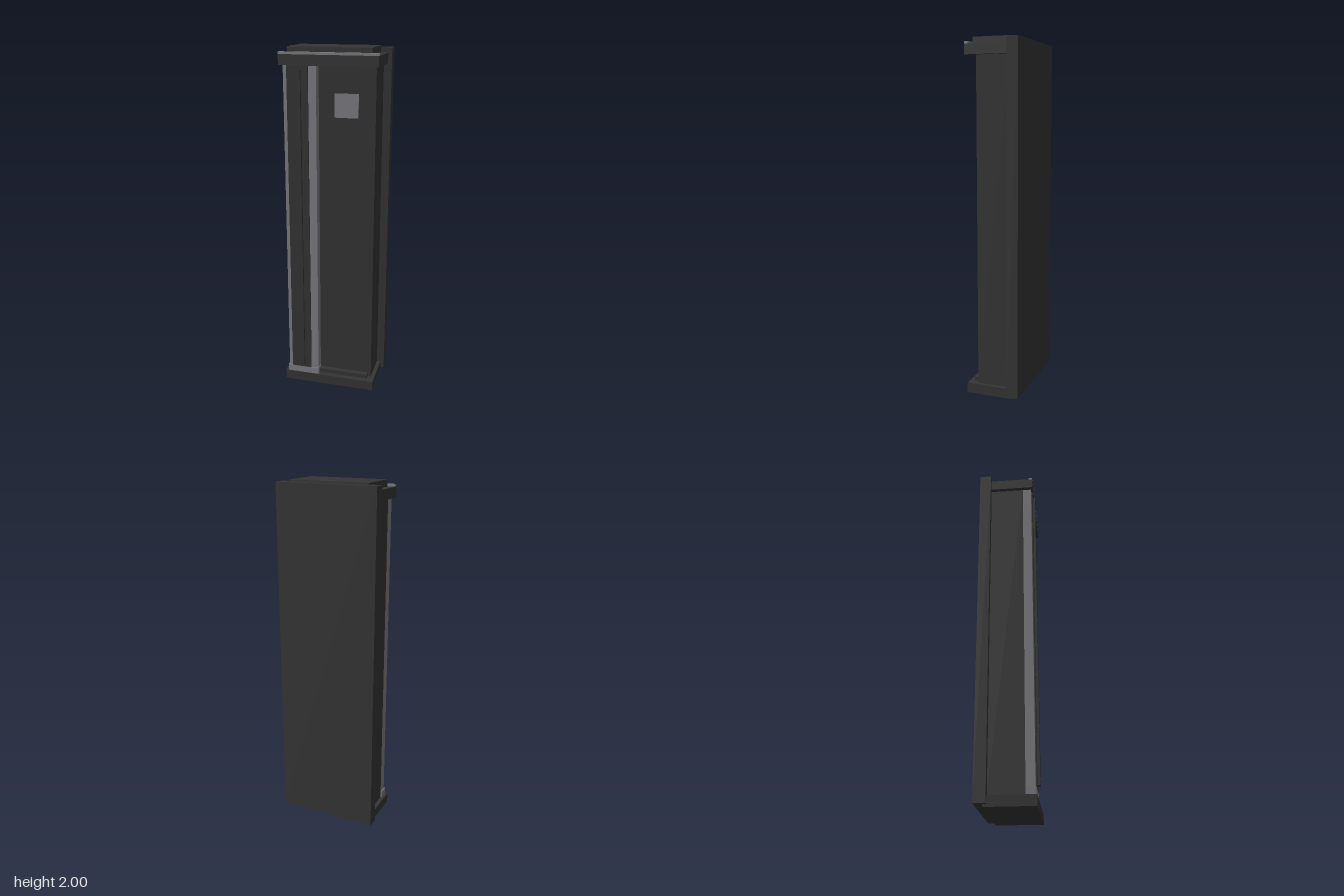
import * as THREE from 'three';

export function createModel() {
  const model = new THREE.Group();
  model.name = 'cabinet';

  const dark = new THREE.MeshStandardMaterial({ color: 0x353535 });
  dark.name = 'charcoal';
  const grey = new THREE.MeshStandardMaterial({ color: 0x7f7f84 });
  grey.name = 'metal grey';

  // Box given by its extents along each axis
  function box(name, material, [x0, x1], [y0, y1], [z0, z1]) {
    const mesh = new THREE.Mesh(new THREE.BoxGeometry(x1 - x0, y1 - y0, z1 - z0), material);
    mesh.position.set((x0 + x1) / 2, (y0 + y1) / 2, (z0 + z1) / 2);
    mesh.name = name;
    model.add(mesh);
  }

  // Carcass
  box('backPanel', dark, [-0.294, 0.294], [0.015, 1.99], [-0.163, -0.098]);
  box('body', dark, [-0.25, 0.25], [0.05, 1.91], [-0.1, 0.093]);

  // Base and crown
  box('base', dark, [-0.273, 0.273], [0, 0.057], [-0.118, 0.152]);
  box('crown', dark, [-0.273, 0.273], [1.905, 1.962], [-0.1, 0.152]);
  box('crownLip', grey, [-0.273, 0.273], [1.962, 1.975], [0.131, 0.152]);
  box('topBox', dark, [-0.232, 0.232], [1.96, 2], [-0.121, 0.121]);

  // Door column with its inlay and long handle
  box('column', grey, [-0.25, -0.066], [0.057, 1.905], [0.093, 0.143]);
  box('columnFoot', grey, [-0.257, -0.064], [0.057, 0.097], [0.093, 0.148]);
  box('columnInlay', dark, [-0.229, -0.11], [0.097, 1.905], [0.143, 0.149]);
  box('handle', dark, [-0.19, -0.149], [0.12, 1.885], [0.149, 0.163]);

  // Ledge at the foot of the door
  box('footLedge', dark, [-0.064, 0.232], [0.057, 0.082], [0.093, 0.122]);

  // Display
  box('displayFrame', dark, [0.025, 0.157], [1.63, 1.76], [0.093, 0.097]);
  box('displayScreen', grey, [0.025, 0.157], [1.63, 1.76], [0.097, 0.099]);

  return model;
}
